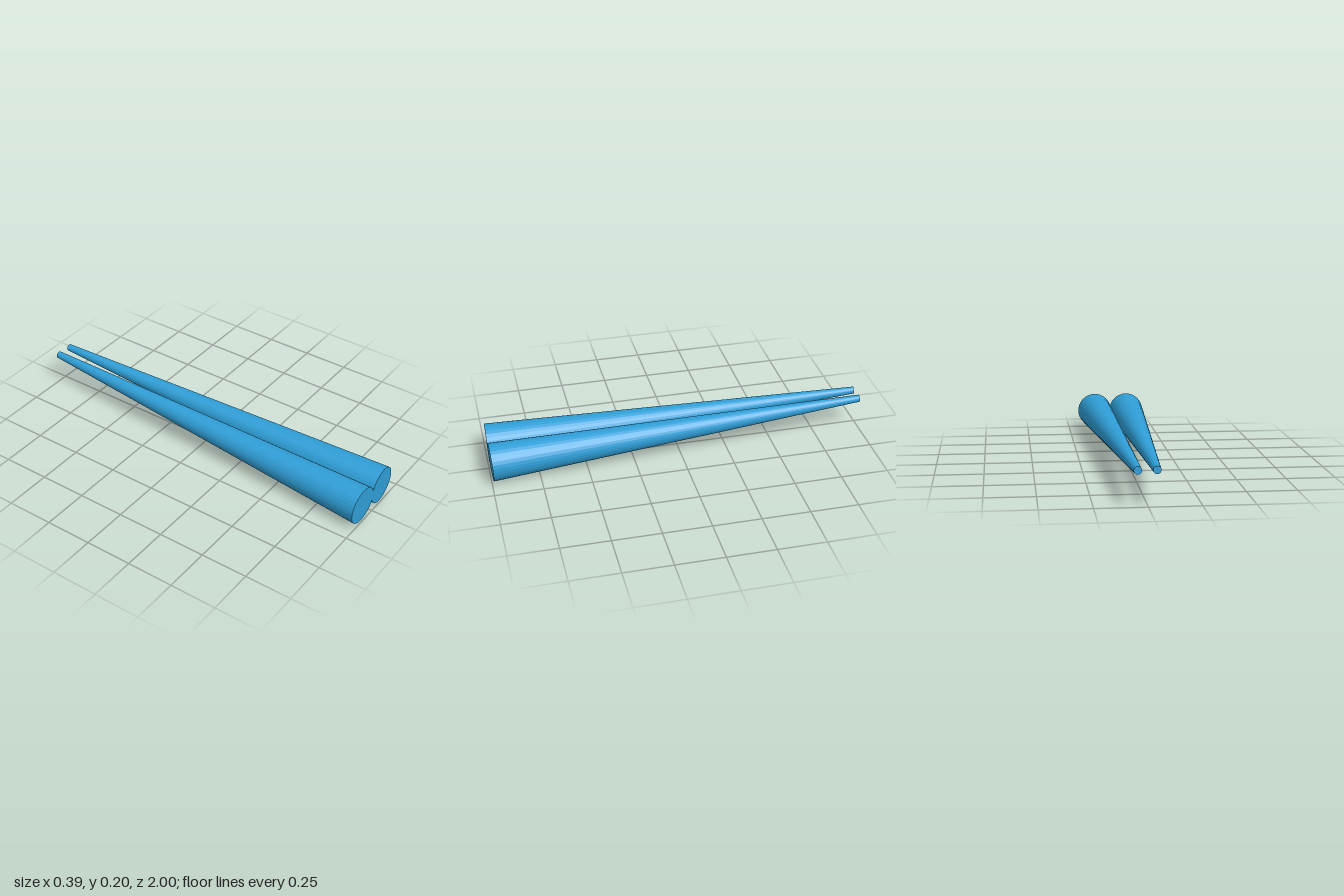
import * as THREE from 'three';

const material = new THREE.MeshStandardMaterial({ color: 0x2f9fd8, flatShading: true });

// Tapered round stick running from its thick front end to its thin back tip
function taperedStick(name, front, back, frontRadius, backRadius) {
  const axis = new THREE.Vector3().subVectors(front, back);
  const stick = new THREE.Mesh(
    new THREE.CylinderGeometry(frontRadius, backRadius, axis.length(), 32),
    material
  );
  stick.position.addVectors(front, back).multiplyScalar(0.5);
  stick.quaternion.setFromUnitVectors(new THREE.Vector3(0, 1, 0), axis.normalize());
  stick.name = name;
  return stick;
}

export function createModel() {
  const model = new THREE.Group();
  model.name = 'pairOfSticks';

  // The two sticks touch at the thick ends; the tips rise and lean inwards
  const sticks = [
    ['leftStick', 0.094, 0.049],
    ['rightStick', -0.096, -0.04],
  ];
  for (const [name, frontX, backX] of sticks) {
    model.add(taperedStick(
      name,
      new THREE.Vector3(frontX, 0.1, 0.995),
      new THREE.Vector3(backX, 0.173, -0.999),
      0.099,
      0.019
    ));
  }
  return model;
}
